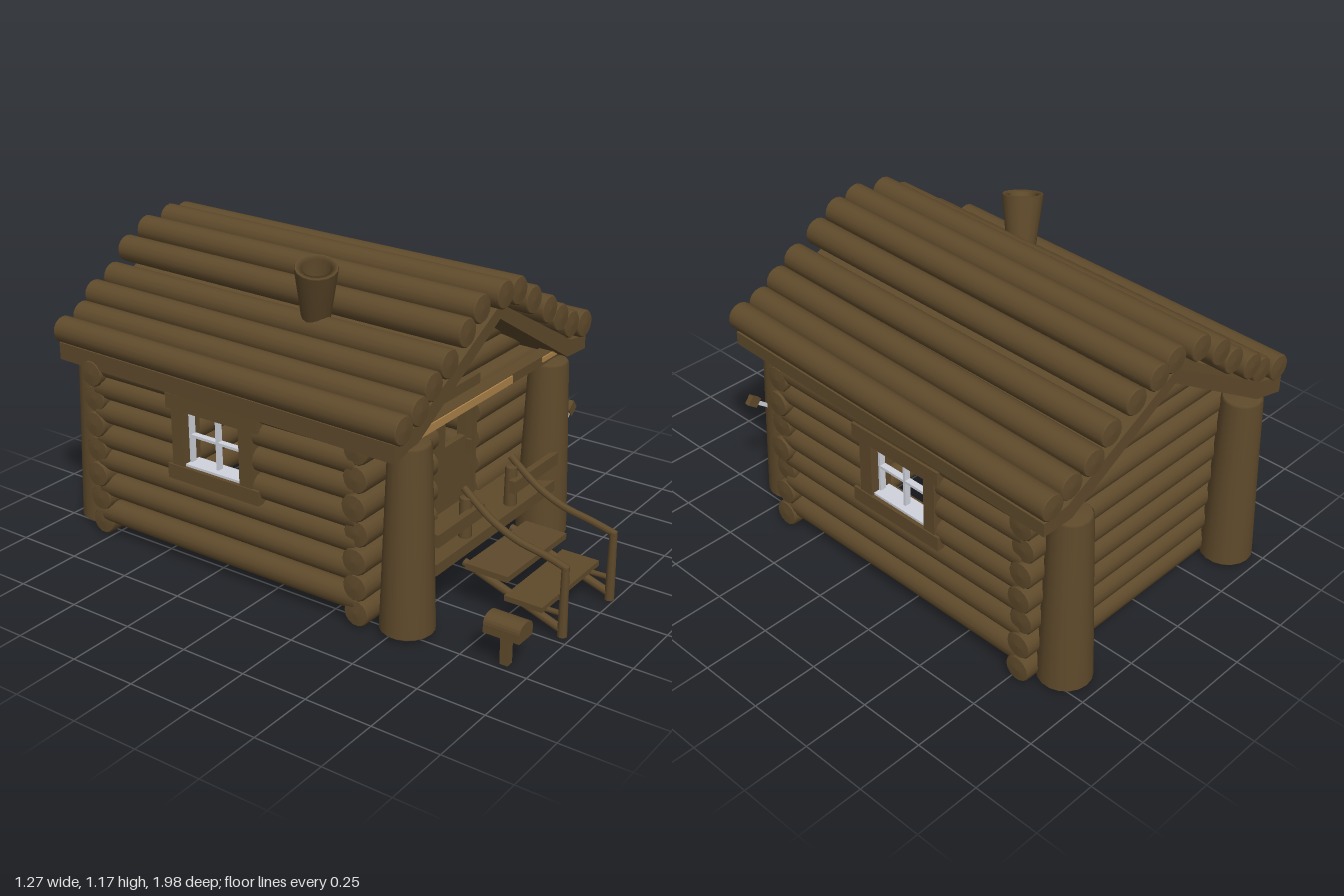
import * as THREE from 'three';

const wood = new THREE.MeshStandardMaterial({ color: 0x5f4a2b });
wood.name = 'brown wood';
const paleWood = new THREE.MeshStandardMaterial({ color: 0xac8349 });
paleWood.name = 'pale wood';
const white = new THREE.MeshStandardMaterial({ color: 0xd0d3dc });
white.name = 'window white';

let seed = 7;
function rand() {
  seed = (seed * 16807) % 2147483647;
  return seed / 2147483647 - 0.5;
}

function add(parent, name, geometry, material = wood) {
  const mesh = new THREE.Mesh(geometry, material);
  mesh.name = name;
  parent.add(mesh);
  return mesh;
}

// box given by its limits on each axis
function box(parent, name, x0, x1, y0, y1, z0, z1, material) {
  const mesh = add(parent, name, new THREE.BoxGeometry(x1 - x0, y1 - y0, z1 - z0), material);
  mesh.position.set((x0 + x1) / 2, (y0 + y1) / 2, (z0 + z1) / 2);
  return mesh;
}

// round timber between two points, with slightly domed ends
function log(parent, name, a, b, r0, r1 = r0, sides = 14) {
  const from = new THREE.Vector3(...a), to = new THREE.Vector3(...b);
  const len = from.distanceTo(to), e = Math.min(r0, r1) * 0.1;
  const profile = [[0, 0], [r0 * 0.92, e], [r0 * 0.92, e], [r0, e * 2], [(r0 + r1) / 2 * (1 + rand() * 0.05), len / 2],
    [r1, len - e * 2], [r1 * 0.92, len - e], [r1 * 0.92, len - e], [0, len]];
  const mesh = add(parent, name, new THREE.LatheGeometry(profile.map(p => new THREE.Vector2(...p)), sides));
  mesh.position.copy(from);
  mesh.quaternion.setFromUnitVectors(new THREE.Vector3(0, 1, 0), to.sub(from).normalize());
  return mesh;
}

function buildWalls(g) {
  const frontZ = 0.38, backZ = -0.78;
  // stacked cross logs; the front rows leave room for the door
  for (let i = 0; i < 7; i++) {
    const y = 0.056 + i * 0.099, r = 0.05, end = () => 0.575 + rand() * 0.02;
    log(g, 'backWallLog', [-end(), y, backZ], [end(), y, backZ], r);
    if (i < 2) log(g, 'frontWallLog', [-end(), y, frontZ], [end(), y, frontZ], r);
    else {
      log(g, 'frontWallLog', [-end(), y, frontZ], [-0.135, y, frontZ], r);
      log(g, 'frontWallLog', [0.12, y, frontZ], [end(), y, frontZ], r);
    }
  }
  // gable logs
  for (const z of [frontZ, backZ]) {
    for (const y of [0.755, 0.84, 0.925]) {
      const half = (1.025 - y) / 0.6;
      log(g, 'gableLog', [-half, y, z], [half, y, z], 0.047);
    }
  }
  // side logs, cut around the window openings
  for (const s of [-1, 1]) {
    const x = s * 0.525;
    [0.095, 0.205, 0.31, 0.4, 0.5, 0.595, 0.68].forEach((y, i) => {
      const r = 0.046;
      if (i > 2 && i < 6) {
        log(g, 'sideWallLog', [x, y, frontZ], [x, y, -0.07], r);
        log(g, 'sideWallLog', [x, y, -0.38], [x, y, backZ], r);
      } else log(g, 'sideWallLog', [x, y, frontZ], [x, y, backZ], r);
    });
    buildWindow(g, s);
  }
  log(g, 'floorSill', [-0.35, 0.05, 0.27], [0.35, 0.05, 0.27], 0.045);
}

function buildWindow(g, s) {
  const w = new THREE.Group();
  w.name = s > 0 ? 'leftWindow' : 'rightWindow';
  w.position.x = s * 0.53;
  g.add(w);
  box(w, 'windowHeader', -0.05, 0.05, 0.612, 0.668, -0.42, -0.015);
  box(w, 'windowSill', -0.05, 0.05, 0.345, 0.4, -0.42, -0.015);
  box(w, 'windowJamb', -0.045, 0.045, 0.4, 0.615, -0.1, -0.045);
  box(w, 'windowJamb', -0.045, 0.045, 0.4, 0.615, -0.4, -0.35);
  for (const z of [-0.104, -0.225, -0.346]) box(w, 'windowBar', -0.012, 0.012, 0.4, 0.614, z - 0.005, z + 0.005, white);
  for (const y of [0.51, 0.607]) box(w, 'windowBar', -0.012, 0.012, y - 0.005, y + 0.005, -0.35, -0.1, white);
  box(w, 'windowLedge', -0.035, 0.035, 0.4, 0.409, -0.35, -0.1, white);
}

function buildDoor(g) {
  const s = new THREE.Shape([[-0.14, 0.2], [0.095, 0.2], [0.095, 0.665], [-0.14, 0.665]].map(p => new THREE.Vector2(...p)));
  s.holes.push(new THREE.Path([[-0.085, 0.495], [-0.085, 0.6], [0.045, 0.6], [0.045, 0.495]].map(p => new THREE.Vector2(...p))));
  const door = add(g, 'door', new THREE.ExtrudeGeometry(s, { depth: 0.025, bevelEnabled: false }));
  door.position.z = 0.39;
  box(g, 'doorLintel', -0.14, 0.12, 0.665, 0.71, 0.35, 0.425);
  box(g, 'doorJamb', 0.095, 0.115, 0.2, 0.67, 0.35, 0.42);
  box(g, 'doorHandle', 0.05, 0.06, 0.42, 0.48, 0.415, 0.435);
}

function buildRoof(g) {
  const roof = new THREE.Group();
  roof.name = 'roof';
  roof.position.z = 0.59;
  roof.rotation.y = -0.029;
  g.add(roof);
  // bent deck under the logs, with flat eaves
  const profile = [[-0.61, 0.67], [-0.48, 0.7], [-0.02, 0.982], [0.44, 0.705], [0.565, 0.7],
    [0.565, 0.75], [0.46, 0.765], [-0.02, 1.035], [-0.49, 0.765], [-0.61, 0.735]];
  const deck = add(roof, 'roofDeck', new THREE.ExtrudeGeometry(
    new THREE.Shape(profile.map(p => new THREE.Vector2(...p))), { depth: 1.5, bevelEnabled: false }));
  deck.position.z = -1.51;
  const rows = [[-0.583, 0.78], [-0.49, 0.812], [-0.415, 0.87], [-0.328, 0.92], [-0.238, 1], [-0.148, 1.055], [-0.02, 1.07],
    [0.08, 1.055], [0.167, 1], [0.274, 0.935], [0.36, 0.88], [0.445, 0.83], [0.537, 0.805]];
  for (const [x, y] of rows) {
    log(roof, 'roofLog', [x, y, 0.01 + rand() * 0.01], [x + rand() * 0.008, y, -1.52 + rand() * 0.02], 0.051, 0.049, 16);
  }
  // flared, leaning chimney pipe
  const pipe = [[0.04, 0], [0.05, 0.06], [0.075, 0.265], [0.072, 0.27], [0.05, 0.265], [0.035, 0.1], [0, 0.1]];
  const chimney = add(g, 'chimney', new THREE.LatheGeometry(pipe.map(p => new THREE.Vector2(...p)), 16));
  chimney.position.set(-0.285, 0.895, 0.015);
  chimney.rotation.set(0.2, 0, 0.23);
}

function buildPorch(g) {
  // corner trunks, wider at the foot
  for (const [x, z] of [[-0.475, 0.53], [0.41, 0.535], [-0.43, -0.88], [0.45, -0.875]]) {
    log(g, 'cornerPost', [x - 0.003, 0.005, z], [x, 0.7, z], 0.096, 0.073, 18);
  }
  // small hatchet stuck in the post
  const hatchet = new THREE.Group();
  hatchet.name = 'hatchet';
  hatchet.position.set(0.53, 0.446, 0.56);
  hatchet.rotation.z = 0.65;
  g.add(hatchet);
  box(hatchet, 'hatchetBlade', -0.055, 0, -0.007, 0.007, -0.006, 0.006, white);
  box(hatchet, 'hatchetHead', 0, 0.045, -0.018, 0.02, -0.01, 0.01);
  box(g, 'porchBeam', -0.47, 0.47, 0.695, 0.73, 0.5, 0.55);
  box(g, 'porchBeamFace', -0.46, 0.12, 0.7, 0.728, 0.55, 0.556, paleWood);
  box(g, 'porchBeamFace', 0.33, 0.46, 0.71, 0.728, 0.55, 0.556, paleWood);
  box(g, 'porchFloor', -0.43, 0.36, 0.21, 0.252, 0.41, 0.61);
  box(g, 'porchRail', -0.43, -0.14, 0.315, 0.362, 0.59, 0.615);
  box(g, 'porchRail', 0.06, 0.365, 0.315, 0.362, 0.59, 0.615);
  for (const x of [-0.2, 0.1]) log(g, 'porchRailPost', [x, 0.24, 0.575], [x, 0.4, 0.575], 0.024, 0.022, 10);
}

function buildStairs(g) {
  box(g, 'upperTread', -0.25, 0.155, 0.153, 0.175, 0.61, 0.775).rotation.z = -0.02;
  box(g, 'lowerTread', -0.25, 0.15, 0.087, 0.107, 0.765, 0.91);
  for (const [x, z] of [[-0.21, 0.968], [0.1, 0.982]]) {
    log(g, 'stairPost', [x, 0, z], [x, 0.265, z], 0.018, 0.014, 8);
    log(g, 'stairStringer', [x, 0.025, z], [x, 0.16, 0.58], 0.015, 0.015, 8);
    log(g, 'stairStrut', [x, 0.085, z], [x, 0.08, 0.78], 0.01, 0.01, 8);
    const path = new THREE.CatmullRomCurve3([[z + 0.01, 0.255], [0.9, 0.275], [0.78, 0.298], [0.68, 0.34], [0.6, 0.395], [0.56, 0.425]]
      .map(([pz, py], i) => new THREE.Vector3(x + i * 0.004, py, pz)));
    add(g, 'handrail', new THREE.TubeGeometry(path, 20, 0.013, 8));
  }
}

function buildMailbox(g) {
  box(g, 'mailboxPost', -0.475, -0.445, 0, 0.125, 0.885, 0.915);
  const s = new THREE.Shape();
  s.moveTo(-0.042, 0);
  s.lineTo(0.042, 0);
  s.lineTo(0.042, 0.03);
  s.quadraticCurveTo(0.04, 0.062, 0, 0.062);
  s.quadraticCurveTo(-0.04, 0.062, -0.042, 0.03);
  const body = add(g, 'mailbox', new THREE.ExtrudeGeometry(s, { depth: 0.135, bevelEnabled: false, curveSegments: 6 }));
  body.position.set(-0.46, 0.113, 0.835);
}

export function createModel() {
  const g = new THREE.Group();
  g.name = 'logCabin';
  [buildWalls, buildDoor, buildRoof, buildPorch, buildStairs, buildMailbox].forEach(build => build(g));
  return g;
}
